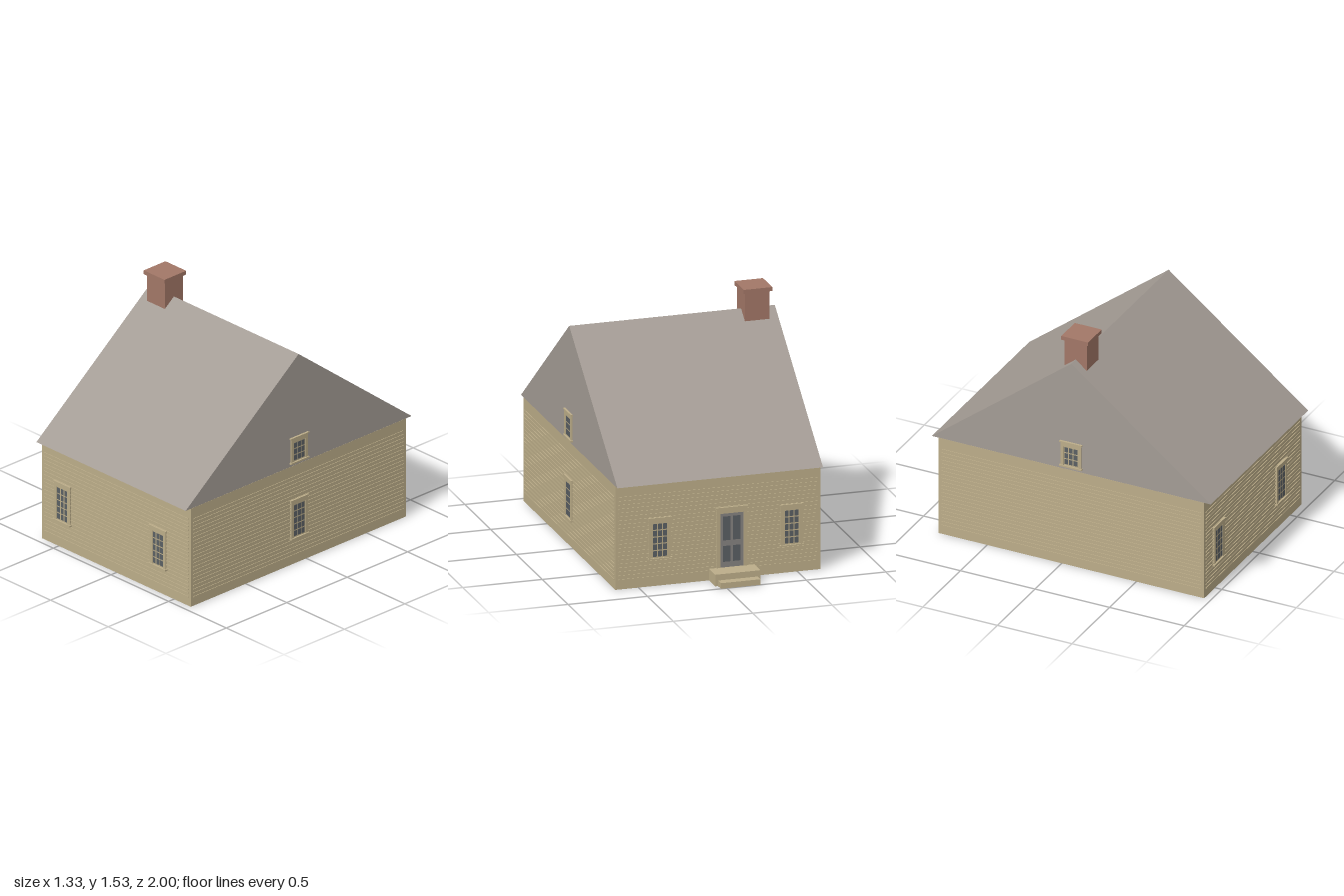
import * as THREE from 'three';

const mat = (name, color, side = THREE.FrontSide) => {
  const m = new THREE.MeshStandardMaterial({ color, side });
  m.name = name;
  return m;
};

export function createModel() {
  const house = new THREE.Group();
  house.name = 'house';

  const tan = mat('tanClapboard', 0xbcad89, THREE.DoubleSide);
  const grey = mat('greyRoof', 0xa49c95);
  const brick = mat('brick', 0xa27767, THREE.DoubleSide);
  const glass = mat('darkGlass', 0x5a5f63);
  const doorGrey = mat('doorGrey', 0x85827f);

  const HALF_W = 0.645, EAVE = 0.655, RIDGE = 1.385, MID_Z = 0.065, HALF_D = 0.89;

  function add(parent, name, geometry, material, x = 0, y = 0, z = 0) {
    const mesh = new THREE.Mesh(geometry, material);
    mesh.name = name;
    mesh.position.set(x, y, z);
    parent.add(mesh);
    return mesh;
  }
  // Box given by its centre x, bottom y and back z
  const box = (parent, name, material, w, h, d, x, y, z) =>
    add(parent, name, new THREE.BoxGeometry(w, h, d), material, x, y + h / 2, z + d / 2);

  // Box without its bottom face
  function openBox(parent, name, material, w, h, d, x, y, z) {
    const mesh = box(parent, name, material, w, h, d, x, y, z);
    const index = Array.from(mesh.geometry.index.array);
    index.splice(18, 6);
    mesh.geometry.setIndex(index);
    mesh.geometry.clearGroups();
    return mesh;
  }

  // Hollow body, open underneath
  openBox(house, 'walls', tan, HALF_W * 2, EAVE - 0.002, HALF_D * 2, 0, 0, MID_Z - HALF_D);

  // Roof prism with its gable ends
  const profile = new THREE.Shape([
    new THREE.Vector2(-0.935, EAVE),
    new THREE.Vector2(0.935, EAVE),
    new THREE.Vector2(0, RIDGE),
  ]);
  const roofGeo = new THREE.ExtrudeGeometry(profile, { depth: HALF_W * 2 + 0.004, bevelEnabled: false });
  roofGeo.translate(0, 0, -HALF_W - 0.002);
  roofGeo.rotateY(Math.PI / 2);
  add(house, 'roof', roofGeo, grey, 0, 0, MID_Z);

  // Chimney shaft, running down through the ceiling, and its cap
  openBox(house, 'chimneyShaft', brick, 0.155, 0.895, 0.15, -0.512, 0.61, -0.01);
  box(house, 'chimneyCap', brick, 0.18, 0.025, 0.18, -0.512, 1.505, -0.025);

  // One group per wall: local x runs along it, local z points outward
  function wall(name, x, z, angle, length) {
    const group = new THREE.Group();
    group.name = name;
    group.position.set(x, 0, z);
    group.rotation.y = angle;
    house.add(group);
    for (let i = 0; i < 22; i++) {
      box(group, 'clapboardEdge', tan, length - 0.04, 0.007, 0.004, 0, 0.056 + i * 0.0247, 0);
    }
    return group;
  }
  const front = wall('frontWall', 0, MID_Z + HALF_D, 0, HALF_W * 2);
  const back = wall('backWall', 0, MID_Z - HALF_D, Math.PI, HALF_W * 2);
  const left = wall('leftWall', HALF_W, MID_Z, Math.PI / 2, HALF_D * 2);
  const right = wall('rightWall', -HALF_W, MID_Z, -Math.PI / 2, HALF_D * 2);

  // Sash window, three panes wide
  function addWindow(parent, x, y, rows, height) {
    const win = new THREE.Group();
    win.name = 'window';
    win.position.set(x, y, 0);
    parent.add(win);
    const width = 0.138, glassW = 0.087, bottom = 0.018, top = height - 0.04, gap = 0.007;
    box(win, 'sash', tan, width, height, 0.007, 0, 0, 0);
    for (const s of [-1, 1]) {
      box(win, 'jamb', tan, 0.022, height, 0.011, s * (width / 2 - 0.011), 0, 0);
    }
    box(win, 'head', tan, width, 0.034, 0.011, 0, height - 0.034, 0);
    box(win, 'headCap', tan, 0.15, 0.008, 0.016, 0, height - 0.008, 0);
    box(win, 'sill', tan, 0.15, 0.01, 0.018, 0, 0, 0);
    const paneW = (glassW - 2 * gap) / 3;
    const paneH = (top - bottom - (rows - 1) * gap) / rows;
    for (let c = -1; c <= 1; c++) {
      for (let r = 0; r < rows; r++) {
        box(win, 'pane', glass, paneW, paneH, 0.002, c * (paneW + gap), bottom + r * (paneH + gap), 0.006);
      }
    }
  }
  for (const x of [-0.462, 0.367]) {
    addWindow(front, x, 0.168, 5, 0.264);
    addWindow(back, -x, 0.168, 5, 0.264);
  }
  addWindow(left, 0, 0.168, 5, 0.264);
  addWindow(left, 0, 0.674, 3, 0.172);
  addWindow(right, 0, 0.674, 3, 0.172);

  // Back door with four dark panels in a cased frame
  const door = new THREE.Group();
  door.name = 'door';
  door.position.set(0.085, 0.075, 0);
  back.add(door);
  box(door, 'doorLeaf', doorGrey, 0.16, 0.34, 0.007, 0, 0, 0);
  for (const s of [-1, 1]) {
    box(door, 'doorJamb', tan, 0.022, 0.375, 0.012, s * 0.085, 0, 0);
    box(door, 'upperPanel', glass, 0.048, 0.15, 0.002, s * 0.032, 0.17, 0.006);
    box(door, 'lowerPanel', glass, 0.048, 0.1, 0.002, s * 0.032, 0.035, 0.006);
  }
  box(door, 'doorHead', tan, 0.192, 0.035, 0.012, 0, 0.34, 0);
  box(door, 'doorCap', tan, 0.205, 0.01, 0.018, 0, 0.37, 0);

  // Steps below the door
  openBox(house, 'upperStep', tan, 0.285, 0.073, 0.12, -0.087, 0, -0.945);
  openBox(house, 'lowerStep', tan, 0.25, 0.035, 0.055, -0.087, 0, -1.0);

  return house;
}
